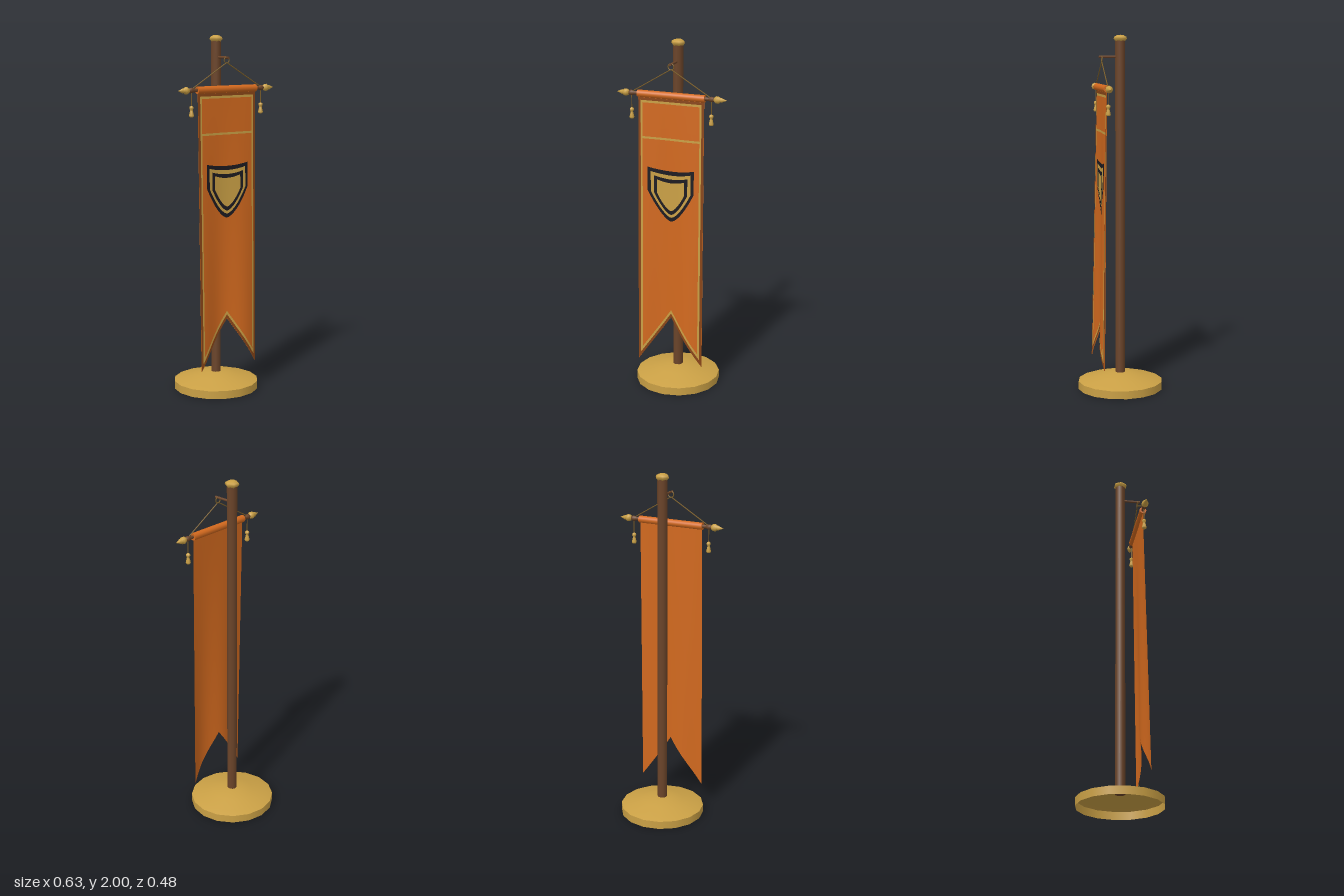
import * as THREE from 'three';

const mat = (name, color, side = THREE.FrontSide) => {
  const m = new THREE.MeshStandardMaterial({ color, side });
  m.name = name;
  return m;
};

export function createModel() {
  const model = new THREE.Group();
  model.name = 'hangingBanner';
  const gold = mat('gold', 0xcaa045, THREE.DoubleSide);
  const orange = mat('orangeCloth', 0xd2691e, THREE.DoubleSide);
  const wood = mat('brownWood', 0x6b4429);
  const hem = mat('darkHem', 0x8a4516);
  const black = mat('blackOutline', 0x1c1a20);
  const cord = mat('cord', 0x7d5f28);

  const add = (name, geo, material, parent = model) => {
    const m = new THREE.Mesh(geo, material);
    m.name = name;
    parent.add(m);
    return m;
  };
  const lathe = (pts, sides, start = 0) =>
    new THREE.LatheGeometry(pts.map(p => new THREE.Vector2(...p)), sides, start);
  // Straight round bar between two points
  const bar = (name, a, b, r, material, sides = 8) => {
    const from = new THREE.Vector3(...a), to = new THREE.Vector3(...b);
    const dir = to.clone().sub(from);
    const m = add(name, new THREE.CylinderGeometry(r, r, dir.length(), sides), material);
    m.position.copy(from).add(to).multiplyScalar(0.5);
    m.quaternion.setFromUnitVectors(new THREE.Vector3(0, 1, 0), dir.normalize());
    return m;
  };

  // Hollow foot, pole and cap
  add('baseRim', lathe([[0.24, 0], [0.24, 0.045]], 16), gold);
  add('baseTop', lathe([[0.24, 0.045], [0.2, 0.058], [0.12, 0.078], [0.06, 0.092], [0, 0.094]], 16), gold);
  bar('pole', [0, 0.07, 0], [0, 1.97, 0], 0.028, wood, 10);
  add('poleCap', lathe([[0, 1.962], [0.028, 1.965], [0.04, 1.978], [0.036, 1.989], [0.02, 1.998], [0, 2]],
    6, Math.PI / 2), gold);

  // Bracket and hanging ring
  const Z = 0.103, BAR_Y = 1.71;
  bar('bracketArm', [0, 1.88, 0.02], [0, 1.88, Z + 0.016], 0.007, wood);
  const ring = add('hangingRing', new THREE.TorusGeometry(0.017, 0.003, 6, 12), cord);
  ring.position.set(0, 1.867, Z);

  // Crossbar with cloth sleeve
  bar('crossbar', [-0.245, BAR_Y, Z], [0.245, BAR_Y, Z], 0.01, wood);
  bar('bannerSleeve', [-0.194, BAR_Y, Z], [0.194, BAR_Y, Z], 0.02, orange, 12);

  // Bar ends, cords and tassels, mirrored
  for (const s of [-1, 1]) {
    const end = new THREE.Group();
    end.name = s > 0 ? 'leftBarEnd' : 'rightBarEnd';
    end.position.set(0, BAR_Y, Z);
    end.rotation.z = -s * Math.PI / 2;
    model.add(end);
    add('barCollar', lathe([[0.01, 0.215], [0.015, 0.228], [0.014, 0.24], [0.008, 0.248]], 8), wood, end);
    add('barFinial', lathe([[0, 0.242], [0.013, 0.247], [0.02, 0.258], [0.02, 0.27], [0.012, 0.281],
      [0.014, 0.285], [0.007, 0.3], [0, 0.317]], 8), gold, end);

    bar('hangingCord', [0, 1.853, Z], [s * 0.225, BAR_Y + 0.008, Z], 0.003, cord, 6);
    bar('tasselCord', [s * 0.23, BAR_Y, Z], [s * 0.23, 1.625, Z], 0.0025, cord, 6);
    const tassel = add('tassel', lathe([[0, 0], [0.011, 0], [0.014, 0.008], [0.008, 0.032], [0.007, 0.038],
      [0.012, 0.046], [0.011, 0.055], [0, 0.062]], 8), gold);
    tassel.position.set(s * 0.23, 1.568, Z);
  }

  // Cloth: folds deepen towards the swallow-tailed bottom
  const W = 0.19, TOP = 1.69;
  const tail = x => 0.15 + 0.275 * (1 - Math.abs(x) / W);
  const fold = (x, y) =>
    Z + 0.016 * (TOP - y) / 1.54 * (1 + Math.cos(2 * Math.PI * (x + W) / 0.3));
  const panel = (name, x0, x1, low, high, lift, material, nx = 40, ny = 16) => {
    const g = new THREE.PlaneGeometry(1, 1, nx, ny);
    const p = g.attributes.position, uv = g.attributes.uv;
    for (let i = 0; i < p.count; i++) {
      const x = THREE.MathUtils.lerp(x0, x1, uv.getX(i));
      const y = THREE.MathUtils.lerp(low(x), high(x), uv.getY(i));
      p.setXYZ(i, x, y, fold(x, y) + lift);
    }
    g.computeVertexNormals();
    return add(name, g, material);
  };
  const at = y => () => y;
  panel('bannerCloth', -W, W, tail, at(TOP), 0, orange);

  // Hem along the edge with a gold line inside it
  const H = 0.176, G = 0.165;
  for (const s of [-1, 1]) {
    const strip = (name, a, b, lift, m) =>
      panel(name, Math.min(s * a, s * b), Math.max(s * a, s * b), tail, at(TOP - 0.015), lift, m, 2);
    strip('sideHem', H, W, 0.003, hem);
    strip('sideGoldLine', G, H, 0.002, gold);
  }
  panel('topHem', -W, W, at(TOP - 0.015), at(TOP), 0.003, hem, 40, 1);
  panel('topGoldLine', -H, H, at(TOP - 0.028), at(TOP - 0.015), 0.002, gold, 40, 1);
  panel('upperGoldLine', -G, G, at(1.462), at(1.474), 0.002, gold, 40, 1);
  panel('tailHem', -W, W, tail, x => tail(x) + 0.023, 0.003, hem, 40, 1);
  panel('tailGoldLine', -H, H, x => tail(x) + 0.023, x => tail(x) + 0.043, 0.002, gold, 40, 1);

  // Nested shield plates: half width, bottom, top
  [['shieldOutline', 0.136, 1.0, 1.304, black], ['shieldBorder', 0.118, 1.023, 1.281, gold],
    ['shieldInnerOutline', 0.1, 1.04, 1.259, black], ['shieldCentre', 0.082, 1.063, 1.238, gold],
  ].forEach(([name, w, low, high, m], i) => {
    panel(name, -w, w,
      x => low + (high - low) * 0.56 * (Math.abs(x) / w) ** 1.6,
      x => high - 0.015 * (1 - (x / w) ** 2), 0.002 + i * 0.0015, m, 32, 8);
  });

  return model;
}
